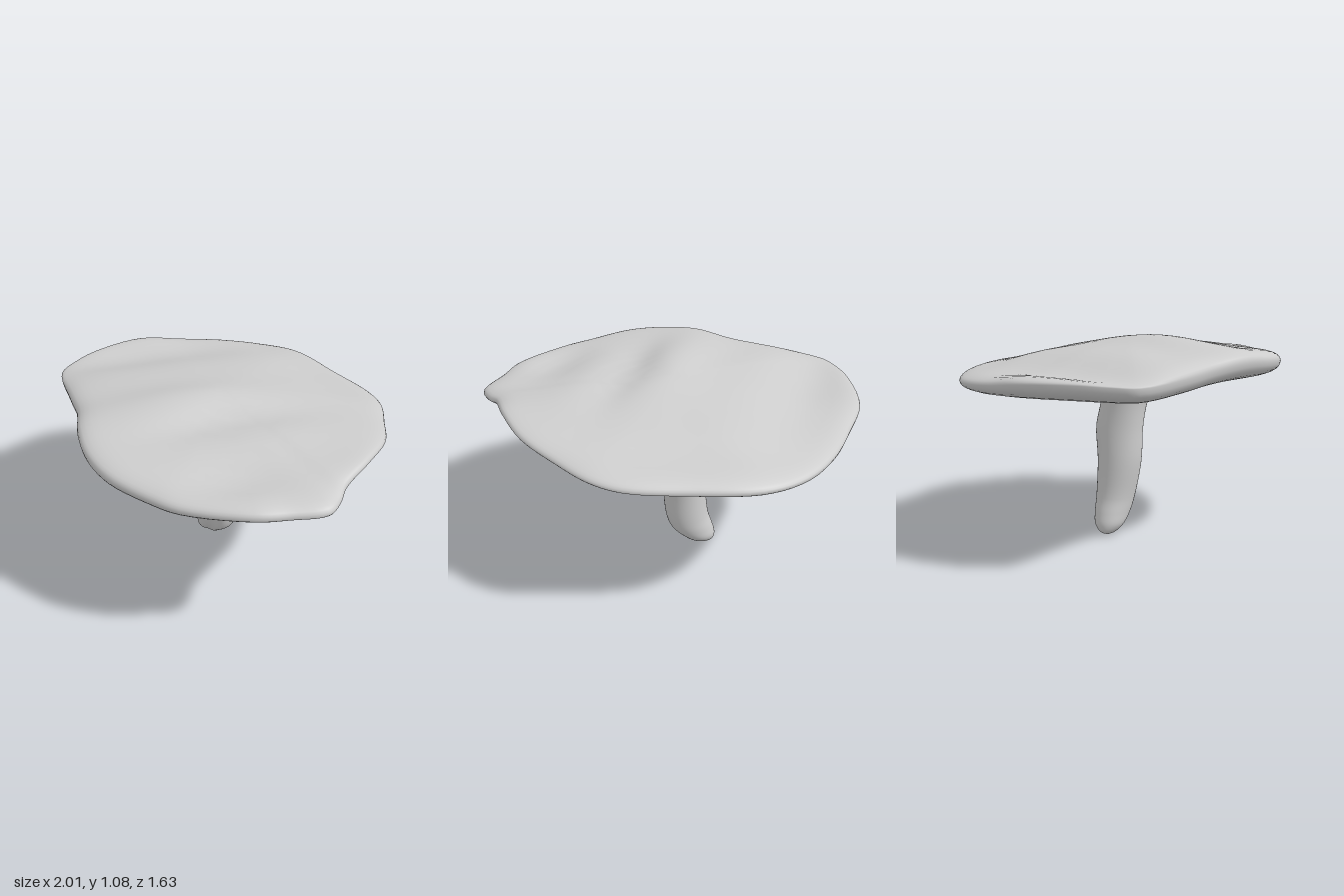
import * as THREE from 'three';
import { mergeVertices } from 'three/addons/utils/BufferGeometryUtils.js';

// Smooth skin over a stack of closed rings of Vector3
function loft(rings) {
  const n = rings[0].length, pos = [], idx = [];
  rings.forEach(ring => ring.forEach(p => pos.push(p.x, p.y, p.z)));
  for (let i = 0; i < rings.length - 1; i++) {
    for (let j = 0; j < n; j++) {
      const a = i * n + j, c = i * n + (j + 1) % n, b = a + n, d = c + n;
      idx.push(a, c, b, c, d, b);
    }
  }
  let geo = new THREE.BufferGeometry();
  geo.setAttribute('position', new THREE.Float32BufferAttribute(pos, 3));
  geo.setIndex(idx);
  geo = mergeVertices(geo, 1e-5);
  geo.computeVertexNormals();
  return geo;
}

// Wavy rim of the cap: x, y, z
const RIM = [
  [1, 0.95, 0.13], [0.92, 0.945, 0.28], [0.84, 0.95, 0.42], [0.58, 0.935, 0.65], [0.43, 0.935, 0.72],
  [0.2, 0.95, 0.8], [0, 0.96, 0.8], [-0.2, 0.965, 0.74], [-0.4, 0.94, 0.64], [-0.6, 0.92, 0.58],
  [-0.91, 0.9, 0.47], [-0.97, 0.905, 0.35], [-1, 0.91, 0.2], [-0.99, 0.9, -0.1],
  [-0.88, 0.875, -0.32], [-0.75, 0.86, -0.53], [-0.58, 0.855, -0.7], [-0.35, 0.87, -0.81],
  [0, 0.88, -0.81], [0.3, 0.9, -0.79], [0.45, 0.92, -0.73], [0.6, 0.945, -0.6],
  [0.77, 0.985, -0.43], [0.87, 1.005, -0.22], [0.92, 0.975, -0.04], [0.97, 0.955, 0.04],
].map(p => new THREE.Vector3(...p));

// Soft lumps and dents of the upper face: x, z, height, spread in x, spread in z
const LUMPS = [
  [-0.03, 0.2, 0.05, 0.2, 0.42], [0.22, 0.15, -0.03, 0.1, 0.3],
  [0.45, 0.05, 0.02, 0.16, 0.3], [0.6, 0.35, -0.035, 0.13, 0.22],
  [-0.74, 0.05, -0.06, 0.21, 0.6], [0, -0.6, -0.015, 0.4, 0.1],
];

function capGeometry() {
  const n = 130;
  const rim = new THREE.CatmullRomCurve3(RIM, true).getPoints(n).slice(0, n);
  // Averaged rim heights, so small waves fade out towards the middle
  const calm = rim.map((p, j) => {
    let sum = 0;
    for (let k = -9; k <= 9; k++) sum += rim[(j + k + n) % n].y;
    return sum / 19;
  });
  const steps = [0, 0.08, 0.16, 0.25, 0.34, 0.43, 0.52, 0.61, 0.7, 0.78, 0.85, 0.9, 0.94, 0.97, 0.985, 0.995, 1];
  const ring = (r, top) => rim.map((p, j) => {
    const x = p.x * r, z = p.z * r;
    const edge = Math.sqrt(Math.max(0, 1 - r ** 18));
    const rimY = THREE.MathUtils.lerp(calm[j], p.y, r ** 6);
    let y;
    if (top) {
      y = THREE.MathUtils.lerp(0.99, rimY, r ** 1.9) + (0.045 + 0.01 * z) * edge;
      for (const [lx, lz, h, sx, sz] of LUMPS) {
        // lumps run diagonally across the cap
        const u = x - lx + 0.35 * (z - lz), v = z - lz;
        y += h * edge * Math.exp(-((u / sx) ** 2) - (v / sz) ** 2);
      }
    } else {
      // the lip is thicker towards the front right, and the middle sags around the stem
      const drop = 0.05 - 0.025 * p.x + 0.025 * p.z;
      const sag = 0.03 * Math.exp(-(((x - 0.1) / 0.22) ** 2) - (z / 0.22) ** 2);
      y = THREE.MathUtils.lerp(0.808, rimY - drop, r ** 1.3) + drop * (1 - edge) - sag;
    }
    return new THREE.Vector3(x, y, z);
  });
  return loft([
    ...steps.map(r => ring(r, true)),
    ...steps.slice(0, -1).reverse().map(r => ring(r, false)),
  ]);
}

// Stem sections: y, x min, x max, z min, z max
const STEM = [
  [0.86, -0.17, 0.24, -0.14, 0.18], [0.78, -0.16, 0.175, -0.135, 0.145],
  [0.7, -0.157, 0.12, -0.142, 0.125], [0.58, -0.163, 0.078, -0.16, 0.115],
  [0.4, -0.18, 0.06, -0.142, 0.113], [0.2, -0.2, 0.042, -0.14, 0.08],
  [0.12, -0.225, 0.012, -0.135, 0.064], [0.06, -0.24, -0.05, -0.12, 0.045],
  [0.02, -0.232, -0.1, -0.085, 0.01], [0.004, -0.2, -0.15, -0.055, -0.02],
  [0, -0.175, -0.175, -0.037, -0.037],
];

function stemGeometry() {
  const sides = 40;
  // Interpolate each section value smoothly along the stem
  const a = new THREE.CatmullRomCurve3(STEM.map(s => new THREE.Vector3(s[1], s[0], s[2])));
  const b = new THREE.CatmullRomCurve3(STEM.map(s => new THREE.Vector3(s[3], s[0], s[4])));
  const rings = [];
  for (let i = 0; i <= 50; i++) {
    const px = a.getPoint(i / 50), pz = b.getPoint(i / 50), ring = [];
    for (let j = 0; j < sides; j++) {
      const t = j / sides * Math.PI * 2;
      // groove down the front left
      const dent = 1 - 0.2 * Math.exp(-(((t - 1) / 0.38) ** 2));
      ring.push(new THREE.Vector3(
        (px.x + px.z) / 2 + (px.z - px.x) / 2 * Math.cos(t) * dent,
        Math.max(0, (px.y + pz.y) / 2),
        (pz.x + pz.z) / 2 + (pz.z - pz.x) / 2 * Math.sin(t) * dent));
    }
    rings.push(ring);
  }
  return loft(rings);
}

export function createModel() {
  const group = new THREE.Group();
  group.name = 'mushroom';
  const grey = new THREE.MeshStandardMaterial({ color: 0xcccccc });
  grey.name = 'plain grey';
  const add = (name, geo) => {
    const mesh = new THREE.Mesh(geo, grey);
    mesh.name = name;
    group.add(mesh);
  };
  add('cap', capGeometry());
  add('stem', stemGeometry());
  return group;
}
